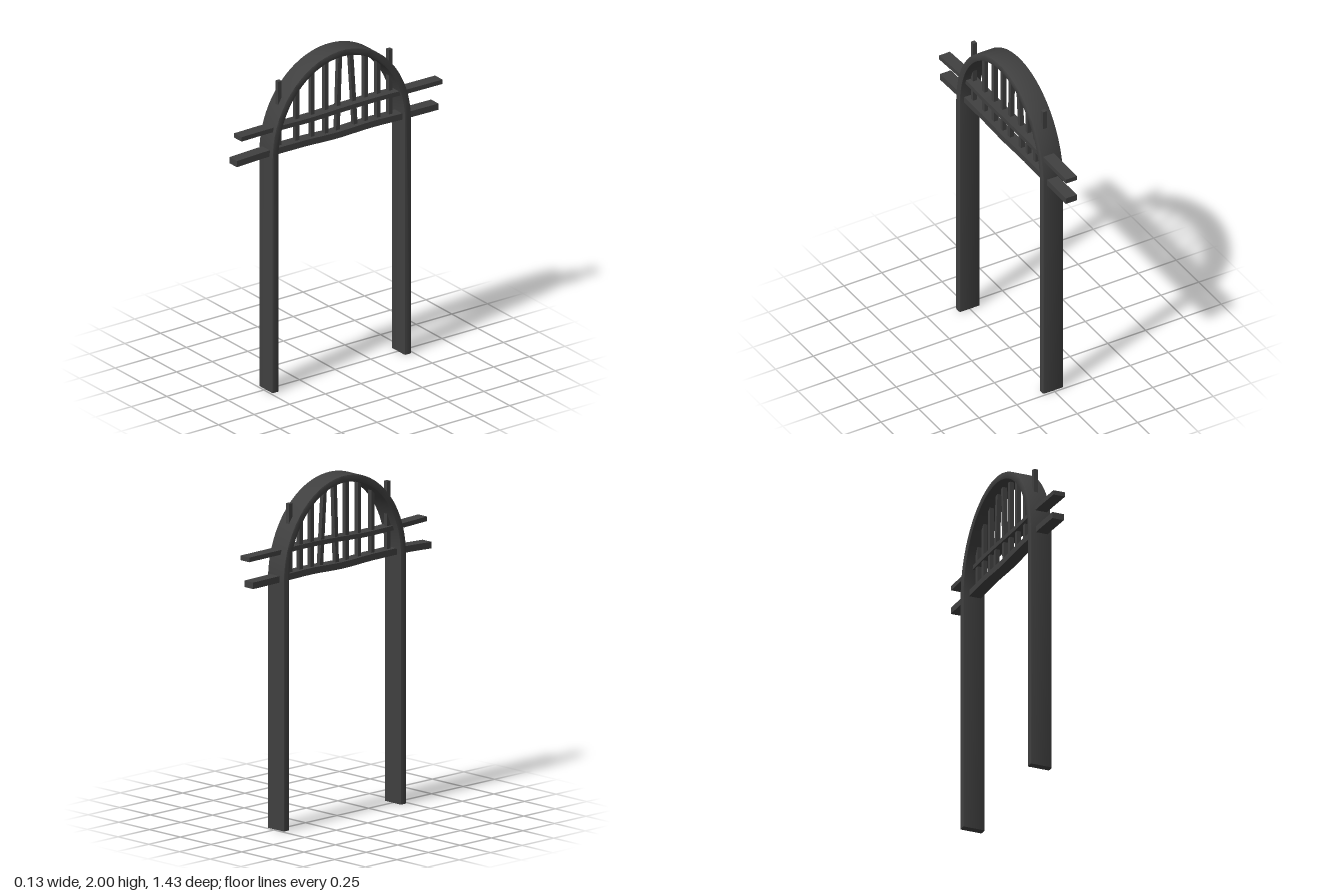
import * as THREE from 'three';
import { toCreasedNormals } from 'three/addons/utils/BufferGeometryUtils.js';

const material = new THREE.MeshStandardMaterial({ color: 0x404040 });
const SPRING = 1.45; // height where the legs turn into the arch

function addMesh(group, name, geometry) {
  const mesh = new THREE.Mesh(geometry, material);
  mesh.name = name;
  group.add(mesh);
  return mesh;
}

// Legs and arch as one bent band, extruded across its width
function archGeometry() {
  const width = 0.134, bevel = 0.008;
  const shape = new THREE.Shape();
  shape.moveTo(0.487, -0.02);
  shape.lineTo(0.487, SPRING);
  shape.absellipse(0, SPRING, 0.487, 0.55, 0, Math.PI, false);
  shape.lineTo(-0.487, -0.02);
  shape.lineTo(-0.442, -0.02);
  shape.lineTo(-0.442, SPRING);
  shape.absellipse(0, SPRING, 0.442, 0.507, Math.PI, 0, true);
  shape.lineTo(0.442, -0.02);
  const geometry = new THREE.ExtrudeGeometry(shape, {
    depth: width - 2 * bevel, curveSegments: 32, bevelThickness: bevel,
    bevelSize: bevel, bevelOffset: -bevel, bevelSegments: 2,
  });
  geometry.translate(0, 0, -width / 2 + bevel);
  geometry.rotateY(-Math.PI / 2);
  // Flat feet on the ground
  const p = geometry.attributes.position;
  for (let i = 0; i < p.count; i++) p.setY(i, Math.max(0, p.getY(i)));
  return toCreasedNormals(geometry, 0.6);
}

// Slightly crooked rail: a long box whose slices follow (x, y) points from back to front
function railGeometry(width, height, zBack, zFront, points) {
  const curve = new THREE.CatmullRomCurve3(points.map(([x, y]) => new THREE.Vector3(x, y, 0)));
  const length = zFront - zBack;
  const geometry = new THREE.BoxGeometry(width, height, length, 1, 1, 24);
  const p = geometry.attributes.position;
  for (let i = 0; i < p.count; i++) {
    const t = p.getZ(i) / length + 0.5;
    const c = curve.getPoint(THREE.MathUtils.clamp(t, 0, 1));
    p.setXYZ(i, p.getX(i) + c.x, p.getY(i) + c.y, zBack + t * length);
  }
  geometry.computeVertexNormals();
  return geometry;
}

export function createModel() {
  const group = new THREE.Group();
  group.name = 'gardenArch';
  addMesh(group, 'archBand', archGeometry());

  // Cross rails running through both legs
  addMesh(group, 'upperRail', railGeometry(0.072, 0.027, -0.715, 0.695,
    [[0.017, 1.618], [0.017, 1.62], [0.015, 1.625], [0.012, 1.62], [0.008, 1.612], [0.006, 1.616], [0.017, 1.62]]));
  addMesh(group, 'lowerRail', railGeometry(0.072, 0.038, -0.695, 0.715,
    [[0.006, 1.465], [0.006, 1.468], [0.004, 1.473], [0.002, 1.466], [0.002, 1.474], [0.002, 1.475], [0, 1.466]]));

  // Spindles: [z at bottom, z at top]; the outer pair pokes through the arch
  const spindles = [
    [0.397, 0.397], [0.273, 0.273], [0.166, 0.166], [0.069, 0.069], [-0.01, -0.028],
    [-0.137, -0.104], [-0.209, -0.209], [-0.296, -0.296], [-0.381, -0.381],
  ];
  spindles.forEach(([zBottom, zTop], i) => {
    const outer = i === 0 || i === spindles.length - 1;
    const bottom = 1.47;
    const top = outer ? 1.89 : SPRING + 0.52 * Math.sqrt(1 - (zTop / 0.455) ** 2);
    const height = top - bottom;
    const spindle = addMesh(group, 'spindle', new THREE.BoxGeometry(0.026, height, 0.026));
    spindle.position.set(0, (top + bottom) / 2, (zBottom + zTop) / 2);
    spindle.rotation.x = Math.atan2(zTop - zBottom, height);
  });
  return group;
}
